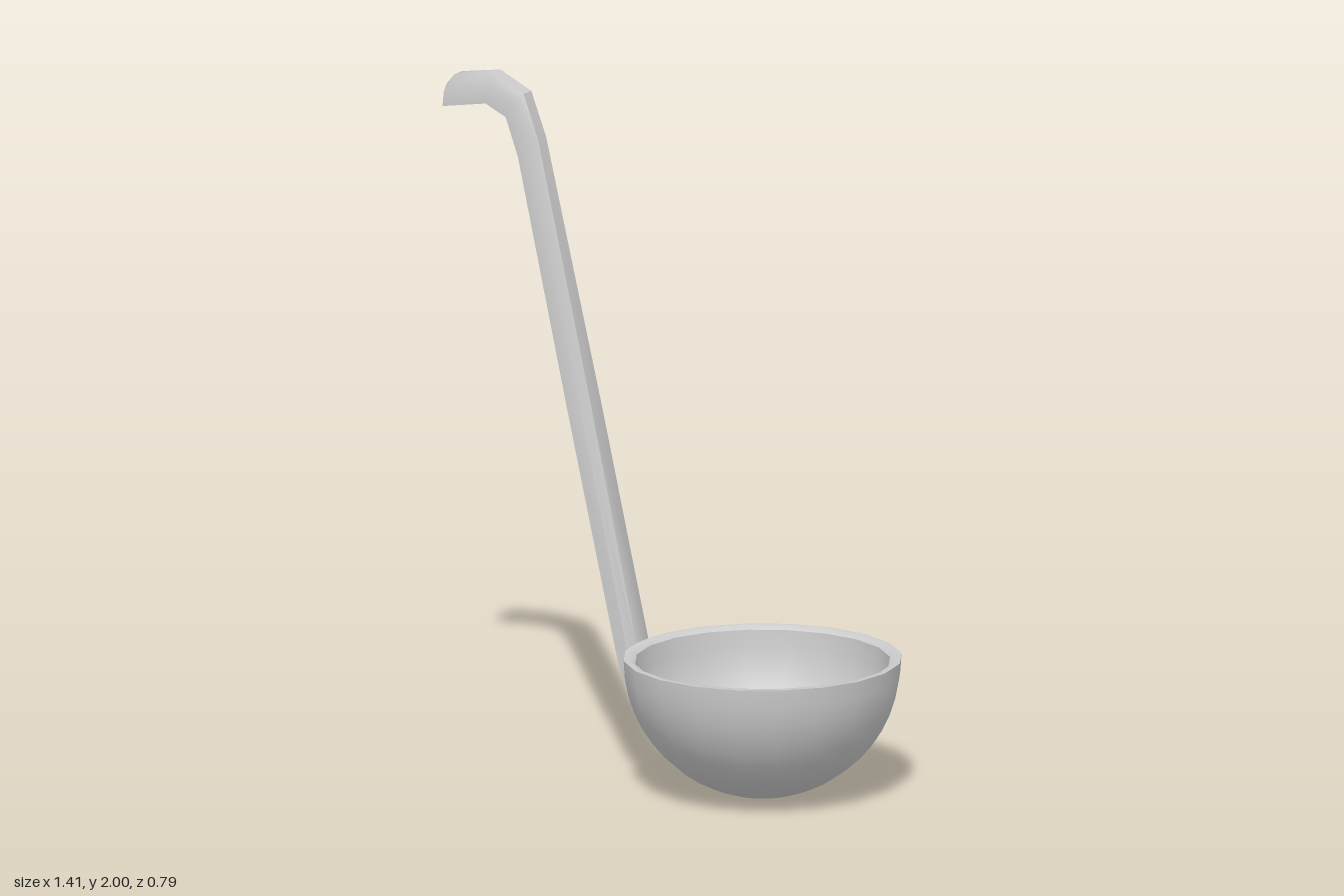
import * as THREE from 'three';
import { toCreasedNormals } from 'three/addons/utils/BufferGeometryUtils.js';

const material = new THREE.MeshStandardMaterial({ color: 0xcccccc });

// Hollow hemisphere with a rolled lip, 20-sided
function createBowl() {
  const rimY = 0.4, outer = 0.395, inner = 0.36, steps = 12;
  const profile = [];
  for (let i = 0; i <= steps; i++) {
    const a = (i / steps) * Math.PI / 2;
    profile.push(new THREE.Vector2(outer * Math.sin(a), rimY - rimY * Math.cos(a)));
  }
  profile.push(new THREE.Vector2(0.376, 0.4), new THREE.Vector2(0.362, 0.39));
  for (let i = steps - 1; i >= 0; i--) {
    const a = (i / steps) * Math.PI / 2;
    profile.push(new THREE.Vector2(inner * Math.sin(a), 0.385 - 0.355 * Math.cos(a)));
  }
  const geometry = toCreasedNormals(new THREE.LatheGeometry(profile, 20), 0.7);
  const bowl = new THREE.Mesh(geometry, material);
  bowl.name = 'bowl';
  bowl.position.x = 0.31;
  return bowl;
}

// Bevelled bar with a grooved underside, swept from hook tip to bowl
function createHandle() {
  // Each station: inner x, y, outer x, y, half width
  const stations = [
    [-0.706, 1.887, -0.7, 1.95, 0.034],
    [-0.69, 1.89, -0.675, 1.98, 0.037],
    [-0.565, 1.912, -0.55, 2.0, 0.037],
    [-0.5, 1.88, -0.45, 1.95, 0.037],
    [-0.46, 1.77, -0.402, 1.82, 0.038],
    [-0.3, 1.08, -0.228, 1.07, 0.048],
    [-0.125, 0.345, -0.076, 0.385, 0.059],
    [-0.09, 0.24, -0.06, 0.3, 0.058],
    [-0.028, 0.2, -0.018, 0.23, 0.05],
  ];
  // Section: sideways fraction, inner-to-outer fraction, starting at the groove
  const section = [[0, 0.3], [-0.6, 0], [-1, 0], [-1, 0.65], [-0.6, 1],
    [0.6, 1], [1, 0.65], [1, 0], [0.6, 0]];
  const n = section.length, positions = [], index = [];

  stations.forEach(([ix, iy, ox, oy, w]) => {
    for (const [s, t] of section) {
      positions.push(ix + (ox - ix) * t, iy + (oy - iy) * t, s * w);
    }
  });
  for (let i = 0; i < stations.length - 1; i++) {
    for (let j = 0; j < n; j++) {
      const k = (j + 1) % n;
      const a = i * n + j, b = a + n, c = i * n + k, d = c + n;
      index.push(a, c, b, c, d, b);
    }
  }
  // End caps, fanned from the groove
  const last = (stations.length - 1) * n;
  for (let j = 1; j < n - 1; j++) {
    index.push(0, j + 1, j, last, last + j, last + j + 1);
  }

  const geometry = new THREE.BufferGeometry();
  geometry.setAttribute('position', new THREE.Float32BufferAttribute(positions, 3));
  geometry.setIndex(index);
  const handle = new THREE.Mesh(toCreasedNormals(geometry, 0.75), material);
  handle.name = 'handle';
  return handle;
}

export function createModel() {
  const ladle = new THREE.Group();
  ladle.name = 'ladle';
  ladle.add(createBowl(), createHandle());
  return ladle;
}
